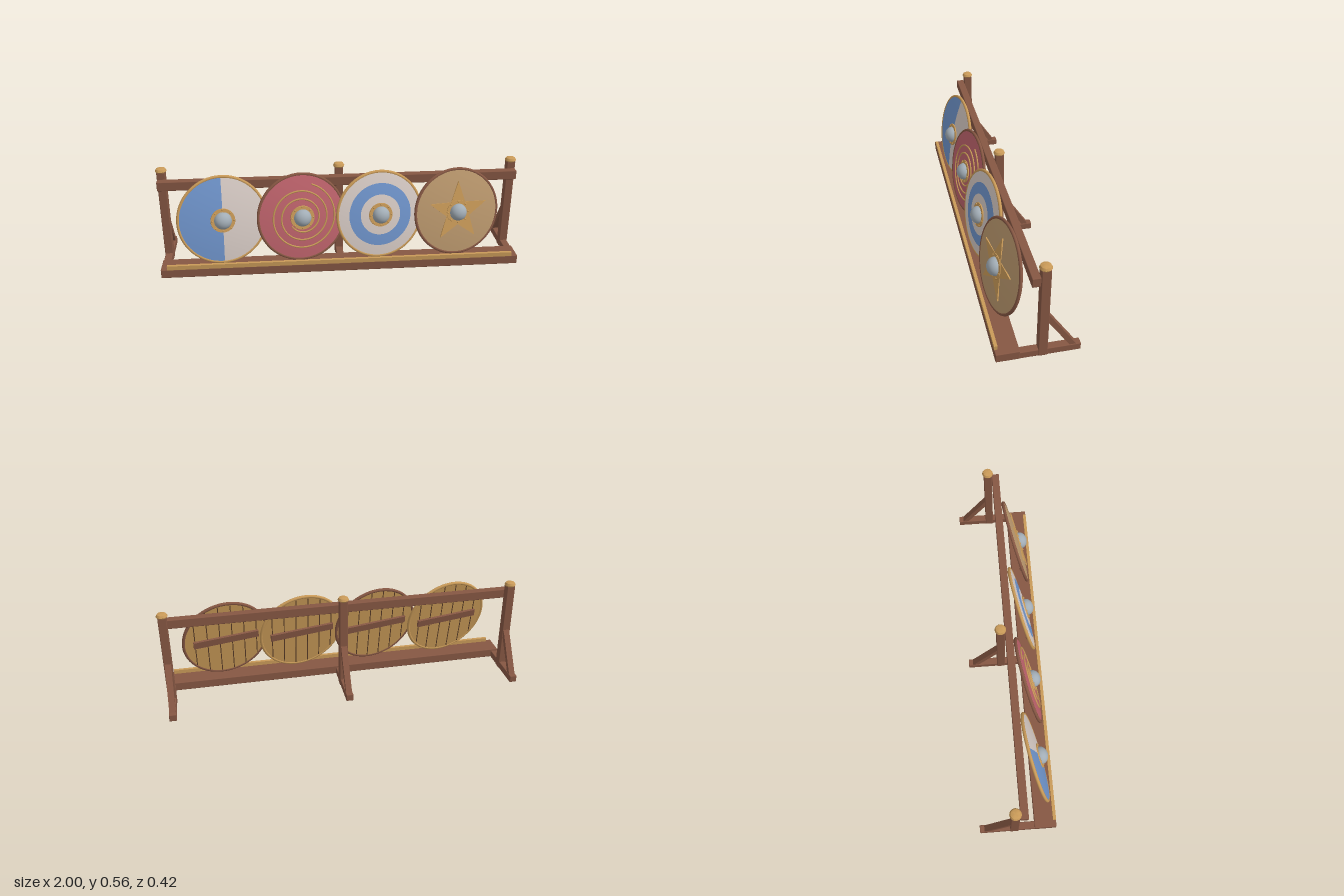
import * as THREE from 'three';
import { RoundedBoxGeometry } from 'three/addons/geometries/RoundedBoxGeometry.js';
import { toCreasedNormals } from 'three/addons/utils/BufferGeometryUtils.js';

const colour = (name, hex) => {
  const m = new THREE.MeshStandardMaterial({ color: hex });
  m.name = name;
  return m;
};

const mats = {
  brown: colour('brown timber', 0x865743),
  gold: colour('golden wood', 0xc99a58),
  dark: colour('dark seam', 0x5a3d28),
  blue: colour('blue paint', 0x6f94cb),
  red: colour('red paint', 0xbd626b),
  white: colour('off-white paint', 0xd6cac4),
  tan: colour('tan hide', 0xbc996e),
  steel: colour('steel', 0xa2adb6),
};

function add(parent, name, geometry, material, x = 0, y = 0, z = 0) {
  const mesh = new THREE.Mesh(geometry, material);
  mesh.name = name;
  mesh.position.set(x, y, z);
  parent.add(mesh);
  return mesh;
}

const beam = (w, h, d) => new RoundedBoxGeometry(w, h, d, 2, 0.004);

// Shield proportions: z is the shield's own forward axis
const R = 0.238;
const domeZ = (r) => 0.006 + 0.018 * (1 - (r / R) ** 2);

// Ring or sector of the domed shield face
function face(rIn, rOut, phi = 0, length = Math.PI * 2) {
  const profile = [];
  for (let i = 0; i <= 8; i++) {
    const r = rOut + (rIn - rOut) * (i / 8);
    profile.push(new THREE.Vector2(r, domeZ(r)));
  }
  return new THREE.LatheGeometry(profile, 48, phi, length).rotateX(Math.PI / 2);
}

// Raised spiral winding clockwise towards the boss
function spiral() {
  const pts = [];
  for (let i = 0; i <= 80; i++) {
    const t = i / 80;
    const r = 0.19 - 0.115 * t;
    const a = 1.27 - t * Math.PI * 2 * 2.6;
    pts.push(new THREE.Vector3(r * Math.cos(a), r * Math.sin(a), domeZ(r) + 0.001));
  }
  return new THREE.TubeGeometry(new THREE.CatmullRomCurve3(pts), 200, 0.005, 6);
}

function star() {
  const shape = new THREE.Shape();
  for (let i = 0; i < 10; i++) {
    const r = i % 2 ? 0.07 : 0.172;
    const a = Math.PI / 2 + (i * Math.PI) / 5;
    shape[i ? 'lineTo' : 'moveTo'](r * Math.cos(a), r * Math.sin(a));
  }
  shape.closePath();
  return new THREE.ExtrudeGeometry(shape, { depth: 0.007, bevelEnabled: false });
}

// Painted fronts, from the model's right to its left
const designs = [
  (g) => {
    add(g, 'whiteHalf', face(0, R, 0, Math.PI), mats.white);
    add(g, 'blueHalf', face(0, R, Math.PI, Math.PI), mats.blue);
  },
  (g) => {
    add(g, 'redFace', face(0, R), mats.red);
    add(g, 'spiral', spiral(), mats.gold);
  },
  (g) => {
    add(g, 'whiteCentre', face(0, 0.113), mats.white);
    add(g, 'blueRing', face(0.113, 0.176), mats.blue);
    add(g, 'whiteBorder', face(0.176, R), mats.white);
  },
  (g) => {
    add(g, 'tanFace', face(0, R), mats.tan);
    add(g, 'star', star(), mats.gold, 0, 0, 0.018);
  },
];

function shield(index) {
  const g = new THREE.Group();
  g.name = 'shield' + (index + 1);
  designs[index](g);
  add(g, 'rim', new THREE.TorusGeometry(R, 0.009, 10, 64), index % 2 ? mats.brown : mats.gold);

  // Plank back with seams and a grip bar
  add(g, 'plankBack', new THREE.CylinderGeometry(R, R, 0.012, 48).rotateX(Math.PI / 2), mats.gold);
  for (let i = 0; i < 6; i++) {
    const x = (i - 2.5) * 0.07;
    const h = 2 * Math.sqrt((R - 0.008) ** 2 - x * x);
    add(g, 'plankSeam', new THREE.BoxGeometry(0.005, h, 0.002), mats.dark, x, 0, -0.0065);
  }
  add(g, 'grip', new THREE.BoxGeometry(0.37, 0.042, 0.014), mats.brown, 0, 0, -0.013);

  // Steel boss on a riveted collar
  add(g, 'collar', new THREE.CylinderGeometry(0.066, 0.068, 0.009, 32).rotateX(Math.PI / 2), mats.gold, 0, 0, 0.0235);
  for (let i = 0; i < 8; i++) {
    const a = (i * Math.PI) / 4;
    add(g, 'rivet', new THREE.SphereGeometry(0.005, 8, 6), mats.gold, 0.059 * Math.cos(a), 0.059 * Math.sin(a), 0.028);
  }
  const boss = new THREE.SphereGeometry(0.048, 28, 12, 0, Math.PI * 2, 0, Math.PI / 2);
  add(g, 'boss', boss.rotateX(Math.PI / 2).scale(1, 1, 0.86), mats.steel, 0, 0, 0.027);

  g.position.set((index - 1.5) * 0.43, 0.2975, 0.117);
  g.rotation.set(-0.2, 0.16, 0);
  return g;
}

// Post with its cap, foot and diagonal brace
function upright(x) {
  const g = new THREE.Group();
  g.name = 'upright';
  add(g, 'post', beam(0.046, 0.535, 0.046), mats.brown, 0, 0.2675, -0.02);
  add(g, 'foot', beam(0.04, 0.04, 0.32), mats.brown, 0, 0.02, -0.05);

  const profile = [[0, 0.533], [0.028, 0.533], [0.031, 0.539], [0.025, 0.551], [0.012, 0.556], [0, 0.556]];
  const cap = new THREE.LatheGeometry(profile.map((p) => new THREE.Vector2(...p)), 20);
  add(g, 'postCap', toCreasedNormals(cap, 0.4), mats.gold, 0, 0, -0.02);

  const side = new THREE.Shape([[0.04, 0.21], [0.155, 0.037], [0.187, 0.037], [0.04, 0.262]].map((p) => new THREE.Vector2(...p)));
  const brace = new THREE.ExtrudeGeometry(side, { depth: 0.034, bevelEnabled: false });
  add(g, 'brace', brace.rotateY(Math.PI / 2).translate(-0.017, 0, 0), mats.brown);

  g.position.x = x;
  return g;
}

export function createModel() {
  const model = new THREE.Group();
  model.name = 'shieldRack';

  for (const x of [-0.969, 0, 0.969]) model.add(upright(x));

  // Long members
  add(model, 'baseBeam', beam(1.98, 0.05, 0.12), mats.brown, 0, 0.025, 0.152);
  add(model, 'frontLip', new THREE.BoxGeometry(1.91, 0.024, 0.017), mats.gold, 0, 0.06, 0.203);
  add(model, 'topRail', beam(1.98, 0.052, 0.042), mats.brown, 0, 0.471, 0.025);

  for (let i = 0; i < 4; i++) model.add(shield(i));
  return model;
}
